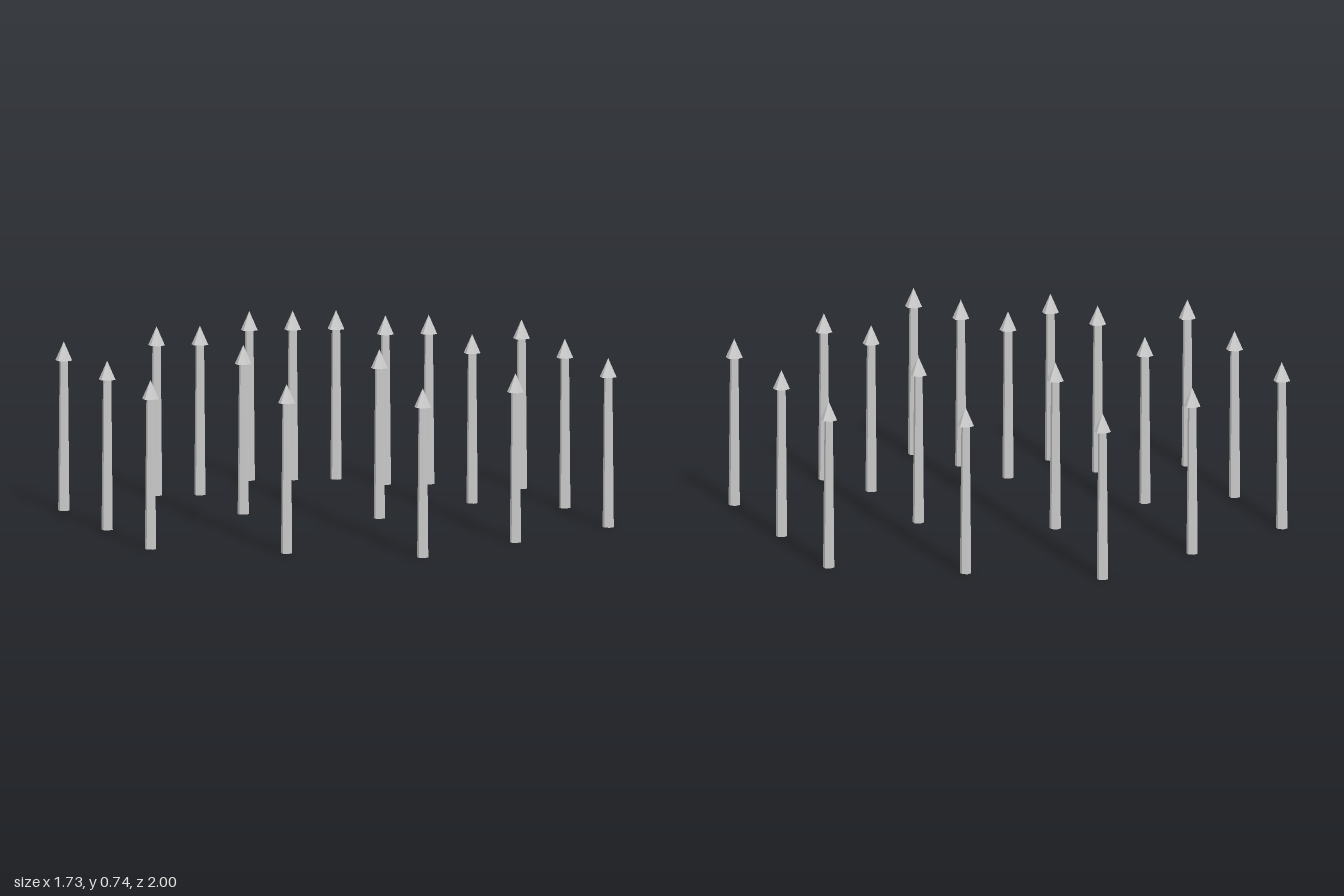
import * as THREE from 'three';

const SPACING = 0.485; // distance between neighbouring stakes
const RINGS = 2;
const STEP = 0.07; // each ring inward stands this much higher

export function createModel() {
  const model = new THREE.Group();
  model.name = 'stakeField';
  const material = new THREE.MeshStandardMaterial({ color: 0xcccccc, flatShading: true });

  // Tapered six-sided shaft, base at y = 0
  const shaftGeometry = new THREE.CylinderGeometry(0.015, 0.02, 0.53, 6);
  shaftGeometry.translate(0, 0.265, 0);

  // Six-sided pointed head, wider than the shaft
  const headGeometry = new THREE.ConeGeometry(0.03, 0.067, 6);
  headGeometry.translate(0, 0.5625, 0);

  function addStake(x, y, z) {
    const stake = new THREE.Group();
    stake.name = 'stake';
    const shaft = new THREE.Mesh(shaftGeometry, material);
    shaft.name = 'shaft';
    const head = new THREE.Mesh(headGeometry, material);
    head.name = 'pointedHead';
    stake.add(shaft, head);
    stake.position.set(x, y, z);
    model.add(stake);
  }

  // Hexagonal grid: one centre stake, a ring of 6 and a ring of 12
  for (let q = -RINGS; q <= RINGS; q++) {
    for (let r = -RINGS; r <= RINGS; r++) {
      const ring = Math.max(Math.abs(q), Math.abs(r), Math.abs(q + r));
      if (ring > RINGS) continue;
      addStake(q * SPACING * Math.sqrt(3) / 2, (RINGS - ring) * STEP, (r + q / 2) * SPACING);
    }
  }
  return model;
}
